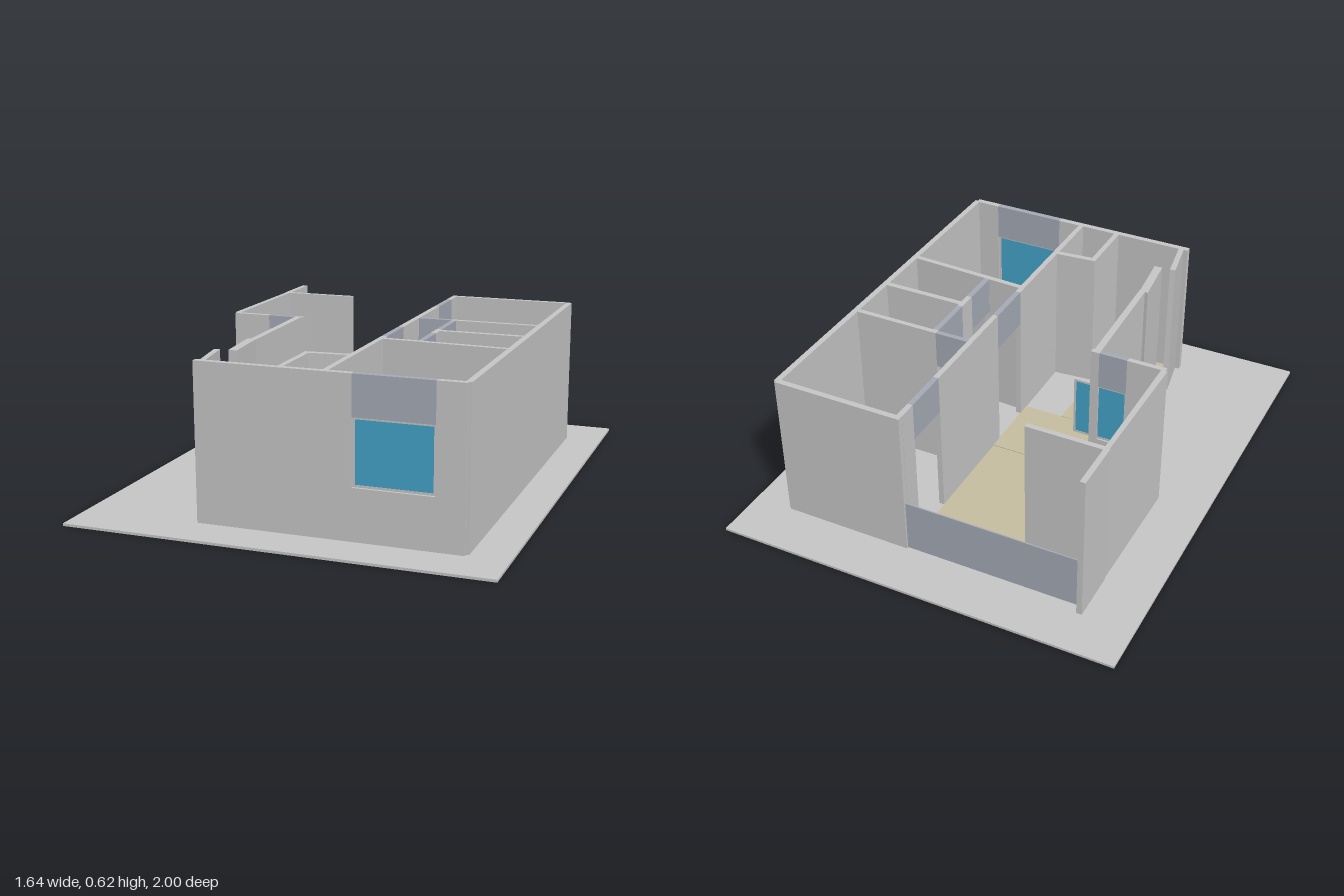
import * as THREE from 'three';

const mat = (name, color) => {
  const m = new THREE.MeshStandardMaterial({ color });
  m.name = name;
  return m;
};

export function createModel() {
  const house = new THREE.Group();
  house.name = 'floorPlanHouse';
  const plaster = mat('plasterGrey', 0xc9c9c9);
  const lintelMat = mat('lintelBlueGrey', 0xa8adb8);
  const glassMat = mat('glassBlue', 0x44a6cc);
  const floorMat = mat('floorTan', 0xc8c0a2);

  const BASE = 0.01, TOP = 0.62, HEAD = 0.465, SILL = 0.21;

  // Upright prism over a plan outline given as [x, z] corners
  function prism(name, corners, y0, y1, material) {
    const shape = new THREE.Shape(corners.map(([x, z]) => new THREE.Vector2(x, -z)));
    const geo = new THREE.ExtrudeGeometry(shape, { depth: y1 - y0, bevelEnabled: false });
    geo.rotateX(-Math.PI / 2).translate(0, y0, 0);
    const mesh = new THREE.Mesh(geo, material);
    mesh.name = name;
    house.add(mesh);
  }

  function block(name, x0, x1, z0, z1, y0 = BASE, y1 = TOP, material = plaster) {
    const geo = new THREE.BoxGeometry(x1 - x0, y1 - y0, z1 - z0);
    geo.translate((x0 + x1) / 2, (y0 + y1) / 2, (z0 + z1) / 2);
    const mesh = new THREE.Mesh(geo, material);
    mesh.name = name;
    house.add(mesh);
  }

  // Straight wall with openings [from, to, sill]; a lintel closes each one above
  function wall(name, x0, x1, z0, z1, openings = []) {
    const alongX = x1 - x0 > z1 - z0;
    const piece = (n, a, b, ...rest) =>
      alongX ? block(n, a, b, z0, z1, ...rest) : block(n, x0, x1, a, b, ...rest);
    let at = alongX ? x0 : z0;
    const end = alongX ? x1 : z1;
    for (const [a, b, sill] of openings) {
      if (a > at) piece(name, at, a);
      piece(name + 'Lintel', a, b, HEAD, TOP, lintelMat);
      if (sill) piece(name + 'Sill', a, b, BASE, sill);
      at = b;
    }
    if (end > at) piece(name, at, end);
  }

  // Glass pane in a slim frame
  function windowUnit(name, x0, x1, z) {
    const f = 0.009, d = 0.003;
    block(name + 'Glass', x0 + f, x1 - f, z - 0.002, z + 0.002, SILL + f, HEAD - f, glassMat);
    for (const [a, b] of [[x0, x0 + f], [x1 - f, x1]])
      block(name + 'FrameSide', a, b, z - d, z + d, SILL, HEAD);
    for (const [a, b] of [[SILL, SILL + f], [HEAD - f, HEAD]])
      block(name + 'FrameRail', x0 + f, x1 - f, z - d, z + d, a, b);
  }

  // Ground slab and tan floors
  block('groundSlab', -0.82, 0.82, -1, 1, 0, BASE);
  block('livingFloor', -0.593, 0.128, -0.61, -0.078, BASE, 0.013, floorMat);
  block('hallFloor', -0.29, 0.13, -0.074, 0.233, BASE, 0.013, floorMat);
  block('entryFloor', -0.29, -0.04, 0.235, 0.8, BASE, 0.013, floorMat);

  // Outer walls
  wall('backWall', 0.13, 0.66, -0.79, -0.767);
  wall('rightWall', 0.646, 0.67, -0.78, 0.81);
  wall('frontWall', -0.36, 0.658, 0.8, 0.825, [[0.245, 0.55, SILL]]);
  windowUnit('frontWindow', 0.245, 0.55, 0.812);
  wall('terraceSideWall', -0.615, -0.593, -0.82, -0.61);
  prism('livingSideWall', [[-0.612, -0.61], [-0.593, -0.61], [-0.593, -0.085], [-0.618, -0.085]],
    BASE, TOP, plaster);
  wall('livingBackWall', -0.593, -0.29, -0.625, -0.604);
  wall('livingFrontWall', -0.61, -0.305, -0.085, -0.064, [[-0.455, -0.34, SILL]]);
  windowUnit('livingWindow', -0.458, -0.235, -0.075);
  block('terraceParapet', -0.593, 0.13, -0.781, -0.775, BASE, 0.225, lintelMat);

  // Slanted entry walls
  const slanted = [
    [[-0.34, -0.064], [-0.312, -0.064], [-0.3, 0.41], [-0.325, 0.41]],
    [[-0.338, 0.405], [-0.302, 0.41], [-0.282, 0.62], [-0.316, 0.62]],
    [[-0.373, 0.625], [-0.35, 0.62], [-0.32, 0.8], [-0.342, 0.8]],
  ];
  slanted.forEach((c) => prism('entryWall', c, BASE, TOP, plaster));

  // Long spine wall with two doorways
  wall('spineWall', 0.129, 0.151, -0.767, 0.8, [[-0.69, -0.5], [-0.02, 0.18]]);

  // Partitions between the right-hand rooms
  wall('bedroomPartition', 0.151, 0.646, -0.238, -0.217, [[0.151, 0.289]]);
  wall('bathPartition', 0.311, 0.646, -0.01, 0.013);
  wall('hallPartition', 0.289, 0.311, -0.217, 0.215, [[-0.215, -0.02], [0.06, 0.214]]);
  prism('lowerPartition', [[0.151, 0.209], [0.646, 0.234], [0.646, 0.256], [0.151, 0.232]],
    BASE, TOP, plaster);

  // Closet beside the entry
  wall('closetSideWall', -0.041, -0.019, 0.56, 0.8);
  prism('closetBackWall', [[-0.041, 0.544], [0.13, 0.53], [0.13, 0.553], [-0.041, 0.568]],
    BASE, TOP, plaster);

  return house;
}
